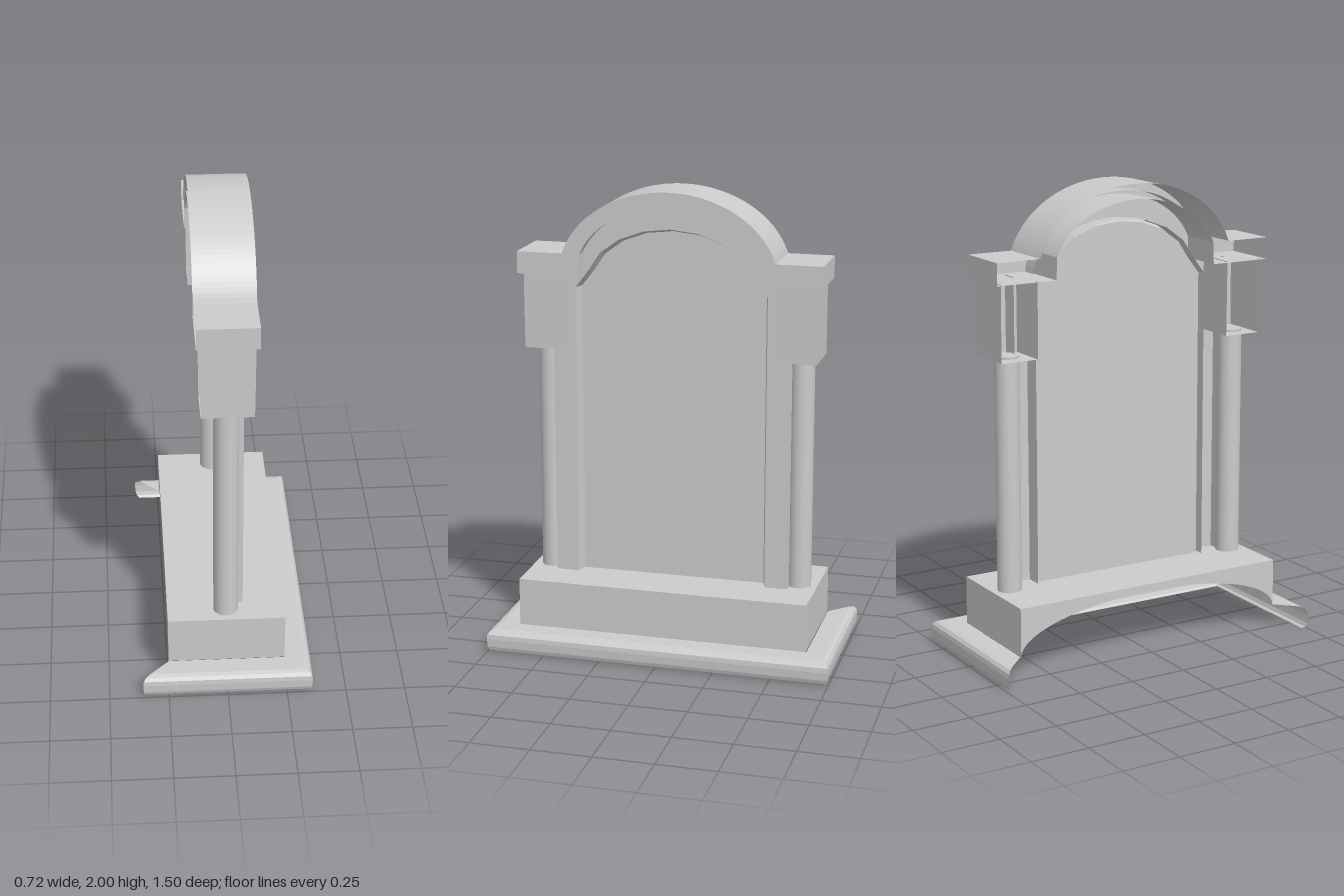
import * as THREE from 'three';

const grey = new THREE.MeshStandardMaterial({ color: 0xcccccc });
const greyDouble = new THREE.MeshStandardMaterial({ color: 0xcccccc, side: THREE.DoubleSide });

// Half-ellipse points from +w to -w, optionally cut off at a start angle
function arc(w, h, baseY, steps, start = 0) {
  return Array.from({ length: steps + 1 }, (_, i) => {
    const a = start + ((Math.PI - 2 * start) * i) / steps;
    return new THREE.Vector2(w * Math.cos(a), baseY + h * Math.sin(a));
  });
}
const v = (x, y) => new THREE.Vector2(x, y);

// Extrude a shape drawn in the (z, y) plane along x, leaving its back (-x) open
function extrudeOpenBack(points, x0, x1, hole) {
  const shape = new THREE.Shape(points);
  if (hole) shape.holes.push(new THREE.Path(hole));
  const solid = new THREE.ExtrudeGeometry(shape, { depth: x1 - x0, bevelEnabled: false });
  const skip = solid.groups[0].count / 2;
  const g = new THREE.BufferGeometry();
  for (const key of ['position', 'normal']) {
    g.setAttribute(key, new THREE.BufferAttribute(solid.attributes[key].array.slice(skip * 3), 3));
  }
  return g.rotateY(Math.PI / 2).translate(x0, 0, 0);
}

// Box without the listed sides (0 +x, 1 -x, 2 +y, 3 -y, 4 +z, 5 -z)
function openBox(w, h, d, missing) {
  const g = new THREE.BoxGeometry(w, h, d);
  g.setIndex(Array.from(g.index.array).filter((_, i) => !missing.includes(Math.floor(i / 6))));
  g.clearGroups();
  return g;
}

// Flat-faced skin between successive rows of [x, y, z] points
function skin(rows) {
  const pos = [];
  for (let r = 0; r < rows.length - 1; r++) {
    for (let i = 0; i < rows[r].length - 1; i++) {
      const a = rows[r][i], b = rows[r + 1][i], c = rows[r][i + 1], d = rows[r + 1][i + 1];
      pos.push(...a, ...c, ...b, ...b, ...c, ...d);
    }
  }
  const g = new THREE.BufferGeometry();
  g.setAttribute('position', new THREE.Float32BufferAttribute(pos, 3));
  g.computeVertexNormals();
  return g;
}

export function createModel() {
  const model = new THREE.Group();
  const add = (name, geometry, material = greyDouble) => {
    const mesh = new THREE.Mesh(geometry, material);
    mesh.name = name;
    model.add(mesh);
  };

  // Plinth skirt: rounded edge swept round three sides, mitred, open at the back
  const edge = [
    [0, 0.1], [0.082, 0.1], [0.1, 0.094], [0.11, 0.08], [0.112, 0.06],
    [0.11, 0.025], [0.104, 0.008], [0.092, 0],
  ];
  const corners = [[-1, 1], [1, 1], [1, -1], [-1, -1]];
  add('plinthSkirt', skin(corners.map(([sx, sz]) =>
    edge.map(([out, y]) => [sx * (0.246 + out), y, sz * (0.637 + out)]))));

  // Plinth block: a shell without back and underside
  add('plinthBlock', openBox(0.494, 0.21, 1.266, [1, 3]).translate(0, 0.203, 0));

  // Back of the plinth, cut by a wide arch
  const back = new THREE.Shape([
    v(-0.633, 0.098), v(-0.633, 0.308), v(0.633, 0.308), ...arc(0.633, 0.18, 0.098, 32),
  ]);
  add('plinthBack', new THREE.ShapeGeometry(back).rotateY(-Math.PI / 2).translate(-0.247, 0, 0));

  // Opening outline: straight sides and a faceted arched head
  const opening = (w, top) => [
    v(-w, 0.305), v(w, 0.305), v(w, 1.575),
    ...arc(w * 0.9, top - 1.575, 1.575, 8, 0.28), v(-w, 1.575),
  ];

  // Frame slab around the panel, its foot let into the plinth
  const slab = [v(-0.515, 0.26), v(0.515, 0.26), v(0.515, 1.64), ...arc(0.42, 0.33, 1.63, 40, 0.04), v(-0.515, 1.64)];
  add('frame', extrudeOpenBack(slab, 0, 0.075, opening(0.415, 1.84)));

  // Sloping reveal from the frame down to the recessed panel
  const ring = (x, w, top) => {
    const points = opening(w, top);
    return [...points, points[0]].map((p) => [x, p.y, -p.x]);
  };
  add('reveal', skin([ring(0.075, 0.415, 1.84), ring(0.025, 0.4, 1.825)]));
  add('panel', new THREE.ShapeGeometry(new THREE.Shape(opening(0.402, 1.827)))
    .rotateY(Math.PI / 2).translate(0.025, 0, 0));

  // Arched hood with level shoulders, hollow from behind
  const outer = arc(0.473, 0.37, 1.632, 48, Math.asin(0.095 / 0.37));
  const inner = arc(0.4, 0.305, 1.632, 48, Math.asin(0.095 / 0.305)).reverse();
  add('hood', extrudeOpenBack([
    v(0.655, 1.633), v(0.655, 1.727), ...outer, v(-0.655, 1.727), v(-0.655, 1.633),
    v(-0.383, 1.633), ...inner, v(0.383, 1.633),
  ], -0.123, 0.127));

  for (const side of [1, -1]) {
    const name = side > 0 ? 'left' : 'right';

    // Column
    add(name + 'Column', new THREE.CylinderGeometry(0.052, 0.052, 1.02, 32)
      .translate(0, 0.81, side * 0.552), grey);

    // Capital block, slightly narrower at the foot, hollow from behind
    const capital = openBox(0.222, 0.326, 0.168, [1]);
    const p = capital.attributes.position;
    for (let i = 0; i < p.count; i++) if (p.getY(i) < 0) p.setX(i, p.getX(i) * 0.97);
    capital.computeVertexNormals();
    add(name + 'Capital', capital.translate(0.002, 1.473, side * 0.547));
  }
  return model;
}
